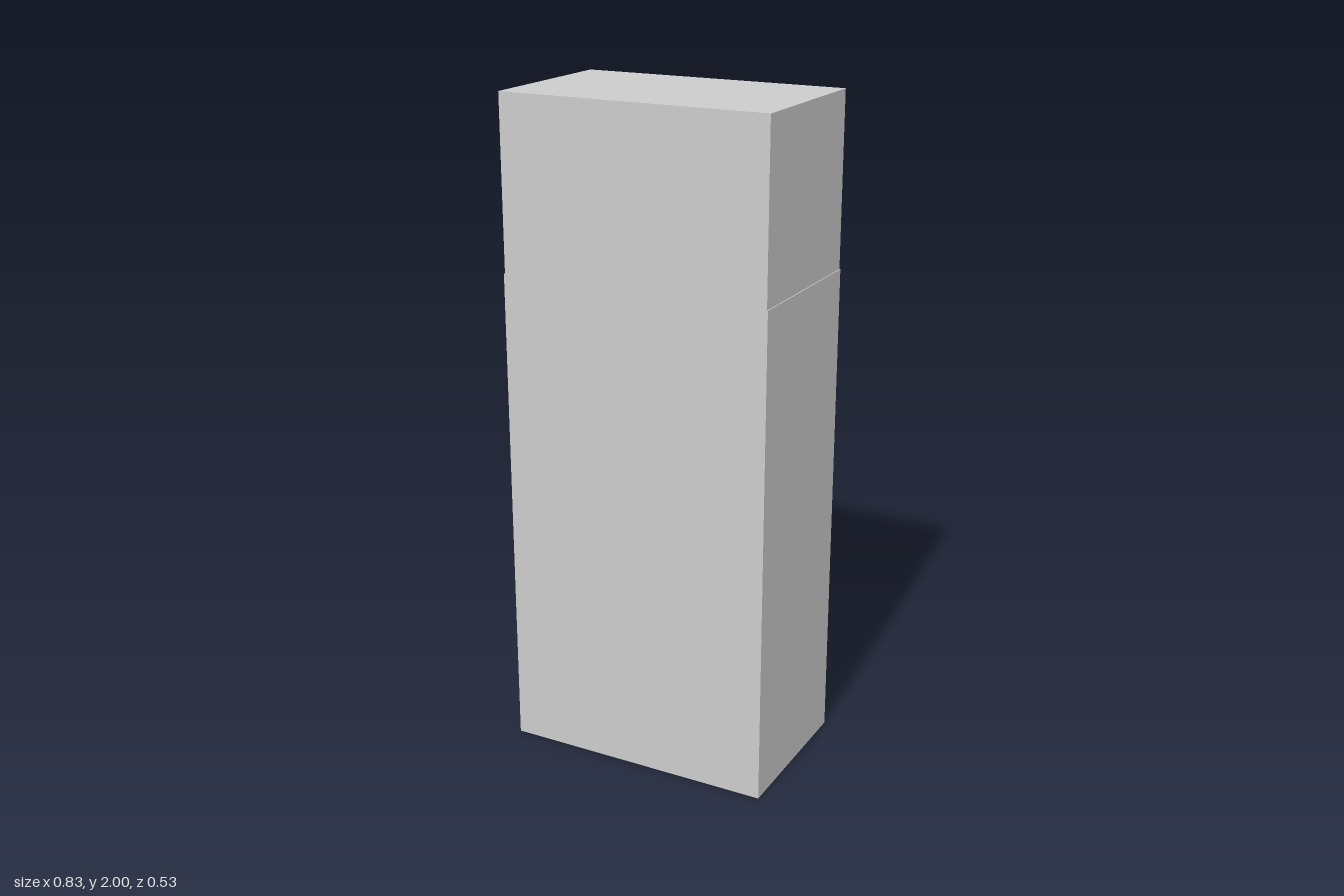
import * as THREE from 'three';

const FRONT = 0.265, OPEN = -0.23, SPLIT = 1.485, INNER = 0.38;

export function createModel() {
  const group = new THREE.Group();
  const material = new THREE.MeshStandardMaterial({ color: 0xcccccc, flatShading: true });

  const add = (name, geometry) => {
    const mesh = new THREE.Mesh(geometry, material);
    mesh.name = name;
    group.add(mesh);
    return mesh;
  };

  // box given by its limits on each axis
  const box = (name, x0, x1, y0, y1, z0, z1) =>
    add(name, new THREE.BoxGeometry(x1 - x0, y1 - y0, z1 - z0)
      .translate((x0 + x1) / 2, (y0 + y1) / 2, (z0 + z1) / 2));

  const rect = (P, hw, y0, y1) => {
    const p = new P();
    p.moveTo(-hw, y0);
    p.lineTo(hw, y0);
    p.lineTo(hw, y1);
    p.lineTo(-hw, y1);
    p.closePath();
    return p;
  };

  // rectangular ring with one or more openings, extruded along z
  const frame = (name, hw, y0, y1, holes, z0, z1) => {
    const shape = rect(THREE.Shape, hw, y0, y1);
    for (const [w, a, b] of holes) shape.holes.push(rect(THREE.Path, w, a, b));
    const geometry = new THREE.ExtrudeGeometry(shape, { depth: z1 - z0, bevelEnabled: false });
    add(name, geometry.translate(0, 0, z0));
  };

  // lower carcass: open tube closed by a wall at the front
  frame('lowerCarcass', 0.414, 0, SPLIT, [[INNER, 0.03, 1.455]], OPEN, 0.245);
  box('lowerWall', -0.414, 0.414, 0, SPLIT, 0.245, FRONT);

  // upper cupboard with two recessed flap panels
  box('upperCarcass', -0.411, 0.411, SPLIT, 2, -0.21, FRONT - 0.001);
  frame('upperFrame', 0.411, SPLIT, 2,
    [[0.393, 1.495, 1.738], [0.393, 1.75, 1.99]], OPEN, -0.21);

  // shelves, the lowest one covering the drawers
  for (const y of [1.257, 1.012, 0.765, 0.563])
    box('shelf', -INNER, INNER, y - 0.014, y, OPEN + 0.004, 0.245);

  // recessed panel below the drawers
  box('basePanel', -INNER, INNER, 0.03, 0.22, -0.218, -0.2);

  // bent strap handle, outline drawn in x and outward distance
  const strap = new THREE.Shape([
    [-0.115, 0], [-0.075, 0.025], [0.075, 0.025], [0.115, 0],
    [0.095, 0], [0.065, 0.014], [-0.065, 0.014], [-0.095, 0],
  ].map(([x, d]) => new THREE.Vector2(x, d)));
  const handleGeometry = new THREE.ExtrudeGeometry(strap, { depth: 0.045, bevelEnabled: false })
    .translate(0, 0, -0.0225).rotateX(-Math.PI / 2);

  // drawers: body, overlapping front and handle
  const drawers = [[0.447, 0.552, 0.515], [0.325, 0.44, 0.39], [0.203, 0.318, 0.27]];
  for (const [y0, y1, handleY] of drawers) {
    box('drawerBody', -0.365, 0.372, y0 + 0.008, y1 - 0.008, -0.239, 0.2);
    box('drawerFront', -0.387, 0.4, y0, y1, -0.245, -0.237);
    add('drawerHandle', handleGeometry).position.set(0, handleY, -0.2445);
  }
  return group;
}
